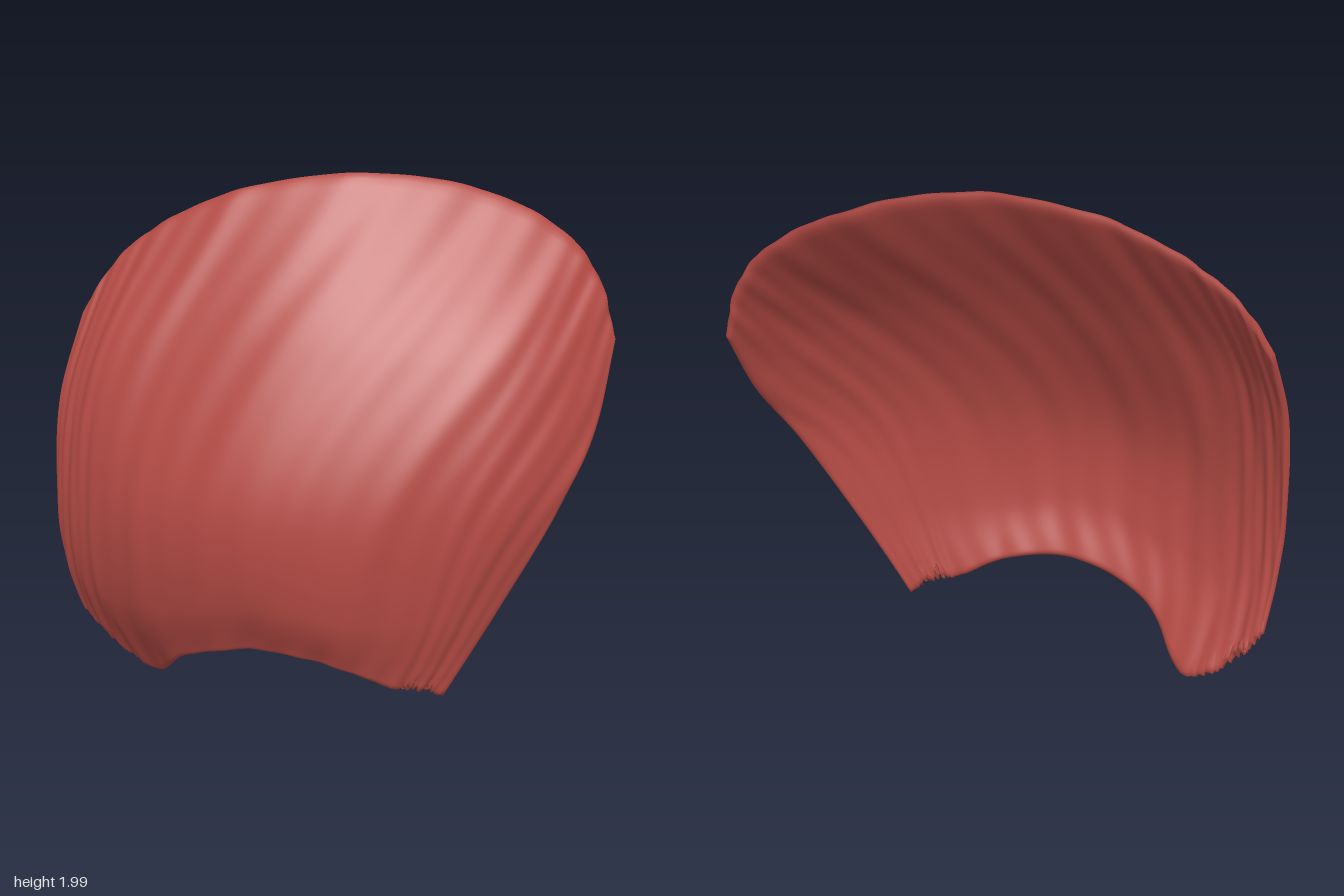
import * as THREE from 'three';

// Columns of the outer skin from one side to the other, each running bottom to top
const COLUMNS = [
  [[-0.83, 0.25, 0.56], [-0.83, 0.5, 0.63], [-0.83, 0.8, 0.65], [-0.83, 1.15, 0.6], [-0.83, 1.45, 0.47]],
  [[-0.74, 0.1, 0.5], [-0.74, 0.45, 0.63], [-0.74, 0.8, 0.66], [-0.74, 1.22, 0.585], [-0.74, 1.65, 0.37]],
  [[-0.57, 0.0, 0.43], [-0.61, 0.4, 0.62], [-0.61, 0.82, 0.66], [-0.61, 1.3, 0.56], [-0.6, 1.79, 0.27]],
  [[-0.3, 0.2, 0.51], [-0.32, 0.45, 0.61], [-0.34, 0.85, 0.64], [-0.34, 1.4, 0.43], [-0.34, 1.93, 0.11]],
  [[0.02, 0.31, 0.43], [0.02, 0.55, 0.53], [0.02, 0.9, 0.54], [0.02, 1.45, 0.28], [0.04, 2.0, -0.15]],
  [[0.27, 0.27, 0.29], [0.3, 0.5, 0.37], [0.34, 0.9, 0.34], [0.35, 1.4, 0.08], [0.36, 1.93, -0.44]],
  [[0.43, 0.18, 0.15], [0.53, 0.5, 0.14], [0.6, 0.95, 0.06], [0.63, 1.37, -0.18], [0.6, 1.78, -0.6]],
  [[0.5, 0.16, 0.07], [0.62, 0.5, 0.01], [0.73, 0.92, -0.12], [0.75, 1.28, -0.35], [0.72, 1.61, -0.65]],
  [[0.55, 0.13, 0.0], [0.69, 0.5, -0.15], [0.81, 0.9, -0.34], [0.825, 1.15, -0.51], [0.785, 1.42, -0.655]],
];
const NU = 150, NV = 100, THICKNESS = 0.03, SIDE = -0.83;

const curve = (points) => new THREE.CatmullRomCurve3(points);

// Fine shallow folds that run up the sheet and drift sideways
function folds(u, v) {
  return 0.0025 * Math.sin(u * 61 - v * 7 + 2 * Math.sin(v * 4))
    + 0.0018 * Math.sin(u * 113 - v * 14 + 1.5 * Math.sin(v * 9 + u * 5));
}

// Torn lower corners
function tear(u, v) {
  const patch = (centre) => Math.max(0, 1 - Math.abs(u - centre) / 0.14);
  const jag = Math.abs(Math.sin(u * 170) + 0.6 * Math.sin(u * 107 + 1));
  return 0.03 * (patch(0.12) + patch(0.86)) * jag * Math.max(0, 1 - v / 0.06);
}

// Share of the full thickness left near the rounded rim
function fullness(i, j) {
  const e = Math.min(1, Math.min(i, NU - i, j, NV - j) / 2);
  return 0.35 + 0.65 * Math.sqrt(e * (2 - e));
}

function curvedShell() {
  const rows = COLUMNS[0].map((_, r) => curve(COLUMNS.map((c) => new THREE.Vector3(...c[r]))));
  const outer = [], index = [];
  const W = NU + 1, count = W * (NV + 1);
  for (let i = 0; i <= NU; i++) {
    const u = i / NU;
    const column = curve(rows.map((row) => row.getPoint(u)));
    for (let j = 0; j <= NV; j++) {
      const v = j / NV, p = column.getPoint(v);
      p.y += tear(u, v);
      p.toArray(outer, (j * W + i) * 3);
    }
  }
  const quad = (a, b, c, d) => index.push(a, b, c, a, c, d);
  for (let j = 0; j < NV; j++) for (let i = 0; i < NU; i++) {
    const a = j * W + i;
    quad(a, a + 1, a + W + 1, a + W);
  }

  // Normals of the skin carry the folds outwards and the thickness inwards
  const skin = new THREE.BufferGeometry();
  skin.setAttribute('position', new THREE.Float32BufferAttribute(outer, 3));
  skin.setIndex(index.slice());
  skin.computeVertexNormals();
  const positions = new Array(count * 6);
  const place = (q, offset, slot) => {
    const p = new THREE.Vector3().fromArray(outer, q * 3);
    p.addScaledVector(new THREE.Vector3().fromBufferAttribute(skin.attributes.normal, q), offset);
    p.x = Math.max(p.x, SIDE);
    p.toArray(positions, slot * 3);
  };
  for (let q = 0; q < count; q++) {
    const i = q % W, j = Math.floor(q / W);
    const f = folds(i / NU, j / NV), half = fullness(i, j) * THICKNESS / 2;
    place(q, f - THICKNESS / 2 + half, q);
    place(q, f - THICKNESS / 2 - half, count + q);
  }

  // Inner face
  for (let j = 0; j < NV; j++) for (let i = 0; i < NU; i++) {
    const a = count + j * W + i;
    quad(a, a + W, a + W + 1, a + 1);
  }
  // Rim all around, softened by sharing vertices with both faces
  const rim = (a, b) => quad(b, a, a + count, b + count);
  for (let i = 0; i < NU; i++) {
    rim(i, i + 1);
    rim(NV * W + i + 1, NV * W + i);
  }
  for (let j = 0; j < NV; j++) {
    rim(j * W + NU, (j + 1) * W + NU);
    rim((j + 1) * W, j * W);
  }

  const shell = new THREE.BufferGeometry();
  shell.setAttribute('position', new THREE.Float32BufferAttribute(positions, 3));
  shell.setIndex(index);
  shell.computeVertexNormals();
  return shell;
}

export function createModel() {
  const group = new THREE.Group();
  group.name = 'curvedSheet';
  const red = new THREE.MeshStandardMaterial({ color: 0xb44a44 });
  red.name = 'dull red';
  const shell = new THREE.Mesh(curvedShell(), red);
  shell.name = 'foldedShell';
  group.add(shell);
  return group;
}
